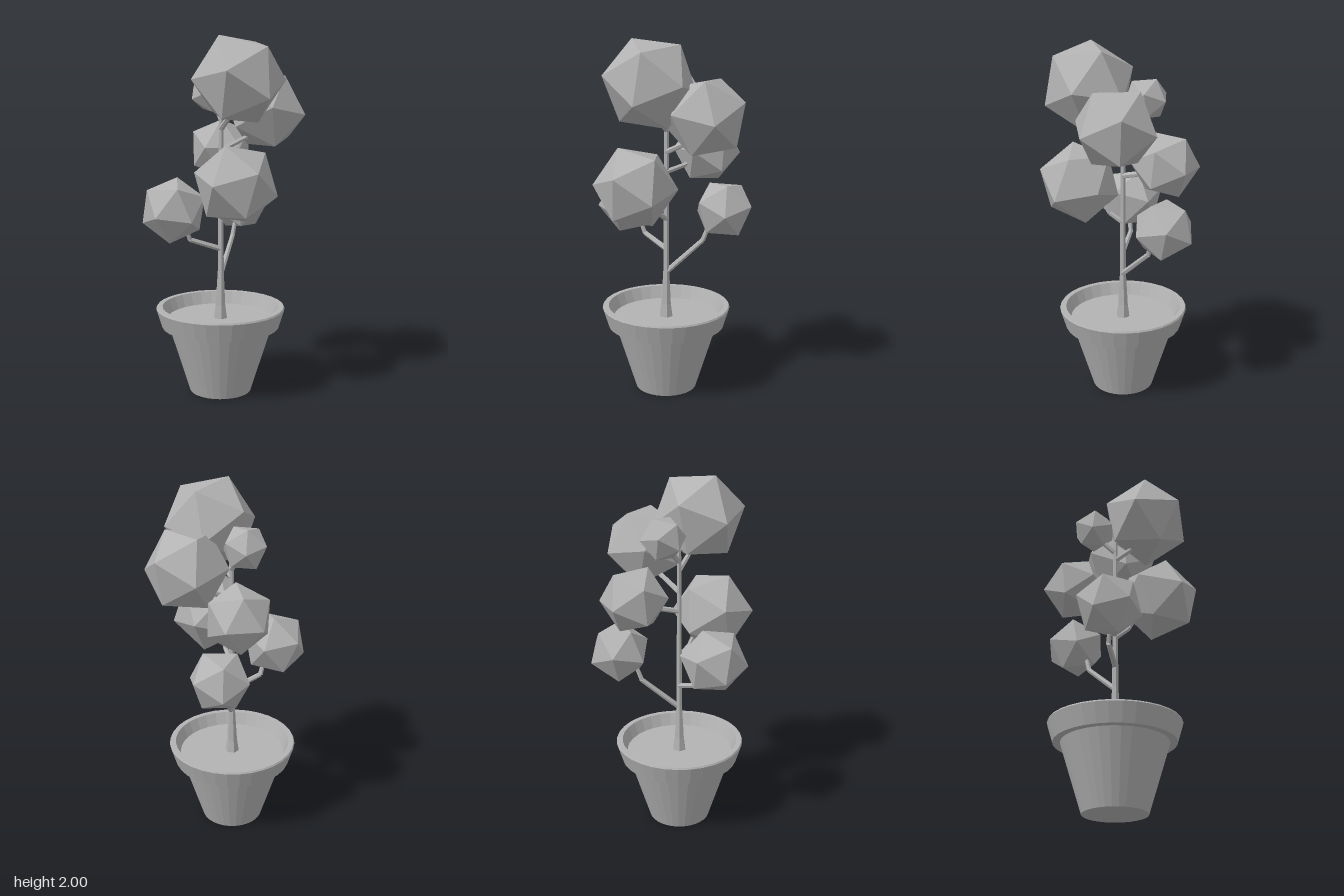
import * as THREE from 'three';

const V = (p) => new THREE.Vector3(...p);
const AXIS_X = -0.015; // pot and trunk axis

export function createModel() {
  const group = new THREE.Group();
  const grey = new THREE.MeshStandardMaterial({ color: 0xb2b2b2, flatShading: true });
  grey.name = 'grey';

  const add = (name, geometry, parent = group) => {
    const mesh = new THREE.Mesh(geometry, grey);
    mesh.name = name;
    parent.add(mesh);
    return mesh;
  };

  // Pot: tapered body, stepped rim and hollow top down to the soil
  const profile = [
    [0, 0], [0.175, 0], [0.293, 0.38], [0.333, 0.38], [0.365, 0.485],
    [0.36, 0.494], [0.33, 0.494], [0.297, 0.41],
  ].map(([x, y]) => new THREE.Vector2(x, y));
  add('pot', new THREE.LatheGeometry(profile, 32)).position.x = AXIS_X;

  // Soil disc
  const soil = add('soil', new THREE.CircleGeometry(0.302, 32).rotateX(-Math.PI / 2));
  soil.position.set(AXIS_X, 0.424, 0);

  // Tapered chain of five-sided segments; each point is [x, y, z, radius]
  const limb = (name, points) => {
    const part = new THREE.Group();
    part.name = name;
    group.add(part);
    for (let i = 1; i < points.length; i++) {
      const a = V(points[i - 1].slice(0, 3)), b = V(points[i].slice(0, 3));
      const dir = b.clone().sub(a);
      const geo = new THREE.CylinderGeometry(points[i][3], points[i - 1][3], dir.length(), 6);
      const mesh = add(name + 'Segment', geo, part);
      mesh.position.copy(a).add(b).multiplyScalar(0.5);
      mesh.quaternion.setFromUnitVectors(new THREE.Vector3(0, 1, 0), dir.normalize());
    }
  };

  limb('trunk', [
    [AXIS_X, 0.42, 0, 0.04], [AXIS_X, 0.5, 0, 0.029], [-0.013, 0.7, 0, 0.018],
    [-0.012, 1.2, 0, 0.015], [-0.01, 1.62, 0, 0.013],
  ]);

  // Branches, each bending upward into its foliage ball
  [
    [[-0.01, 0.69, 0], [0.09, 0.865, -0.185], [0.11, 0.95, -0.21]],
    [[-0.015, 0.825, 0], [-0.19, 0.885, 0.015], [-0.215, 0.96, 0.03]],
    [[-0.01, 1.0, 0], [0, 1.05, 0.075], [0.005, 1.13, 0.12]],
    [[-0.01, 1.27, 0], [0.015, 1.3, -0.12], [0.02, 1.35, -0.17]],
    [[-0.01, 1.38, 0], [0.14, 1.45, -0.03], [0.19, 1.52, -0.045]],
    [[-0.01, 1.5, 0], [0.02, 1.57, 0.08], [0.035, 1.66, 0.12]],
    [[-0.01, 1.55, 0], [-0.03, 1.62, -0.07], [-0.04, 1.68, -0.1]],
  ].forEach((pts) => limb('branch', pts.map((p, i) => [...p, [0.016, 0.014, 0.012][i]])));

  // Foliage balls: centre, radius, and directions of two neighbouring corners
  const balls = [
    [[0.055, 1.768, 0.168], 0.258, [-0.115, 0.227, 0.032], [0.117, 0.2, -0.118]],
    [[0.253, 1.595, -0.055], 0.231, [0.195, 0.085, -0.1], [0.196, -0.02, 0.118]],
    [[0.025, 1.22, 0.245], 0.231, [0.077, 0.08, 0.208], [-0.067, 0.21, 0.065]],
    [[-0.285, 1.06, 0.047], 0.186, [0.031, 0.173, -0.057], [-0.147, 0.115, 0.01]],
    [[0.15, 1.043, -0.29], 0.173, [0.158, 0.03, -0.06], [0.034, -0.053, -0.165]],
    [[0.035, 1.37, -0.257], 0.189, [0.011, 0.149, -0.115], [-0.08, -0.016, -0.177]],
    [[-0.044, 1.7, -0.12], 0.126, [0.017, 0.11, -0.06], [0.108, 0.05, -0.03]],
  ];
  for (const [centre, radius, a, b] of balls) {
    const ball = add('foliage', new THREE.IcosahedronGeometry(radius, 0));
    const A = V(a).normalize(), B = V(b).normalize();
    // The default solid has an edge along x, facing +y
    const x = B.clone().sub(A).normalize();
    const y = A.clone().add(B).normalize();
    const z = x.clone().cross(y);
    ball.quaternion.setFromRotationMatrix(new THREE.Matrix4().makeBasis(x, y, z));
    ball.position.copy(V(centre));
  }
  return group;
}
